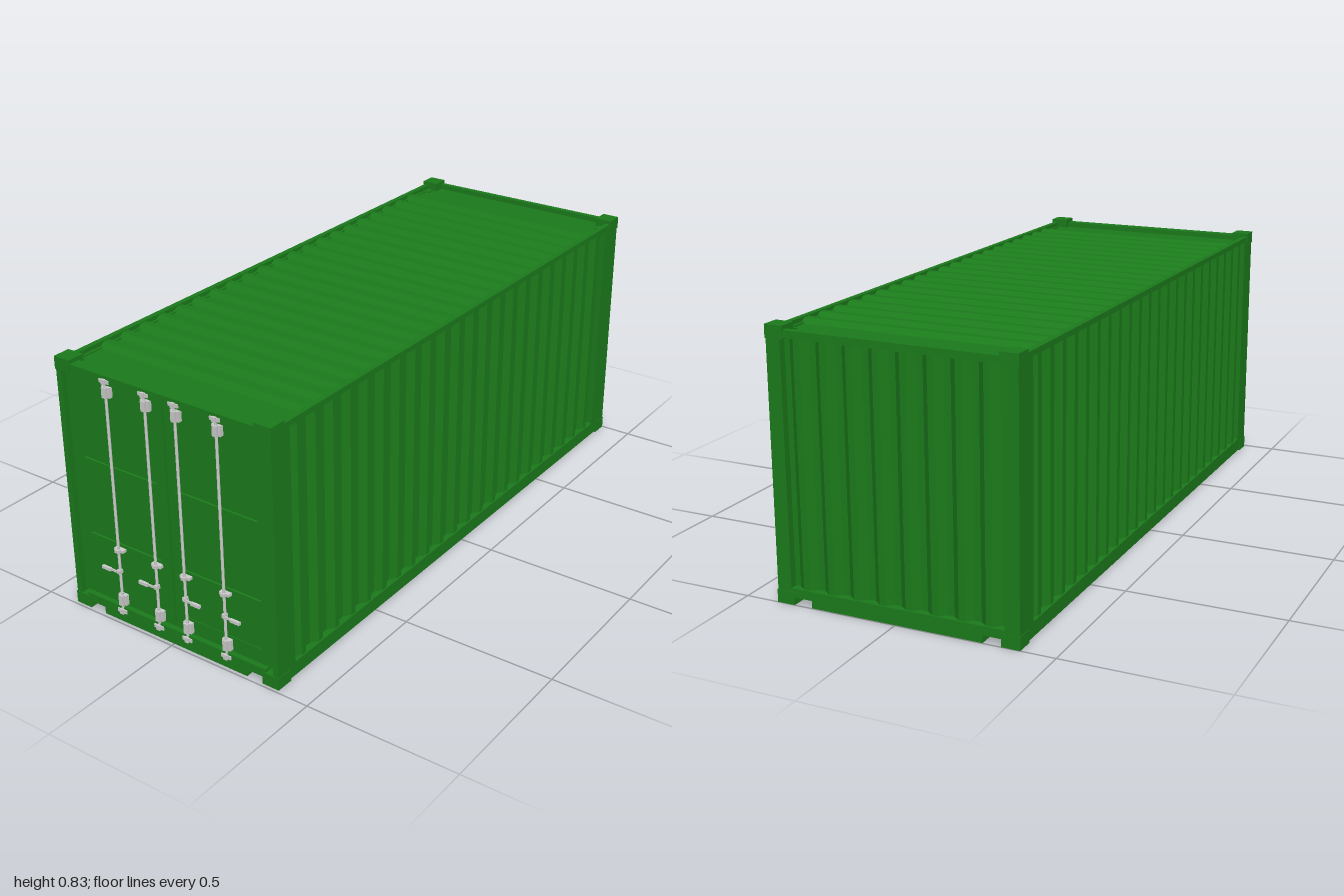
import * as THREE from 'three';

const green = new THREE.MeshStandardMaterial({ color: 0x1b7a1b, flatShading: true });
const grey = new THREE.MeshStandardMaterial({ color: 0xcccccc, flatShading: true });
const V = (x, y, z) => new THREE.Vector3(x, y, z);

// Box given by its minimum and maximum corners
function box(parent, name, x0, x1, y0, y1, z0, z1, mat = green) {
  const mesh = new THREE.Mesh(new THREE.BoxGeometry(x1 - x0, y1 - y0, z1 - z0), mat);
  mesh.position.set((x0 + x1) / 2, (y0 + y1) / 2, (z0 + z1) / 2);
  mesh.name = name;
  parent.add(mesh);
  return mesh;
}

// Sheet with a profile of [u, d] points, closed along d = back, extruded along u x d
function sheet(parent, name, points, back, length, u, d, origin) {
  const first = points[0], last = points[points.length - 1];
  const shape = new THREE.Shape([
    ...points, [last[0], back], [first[0], back],
  ].map(([a, b]) => new THREE.Vector2(a, b)));
  const geo = new THREE.ExtrudeGeometry(shape, { depth: length, bevelEnabled: false });
  geo.applyMatrix4(new THREE.Matrix4().makeBasis(u, d, u.clone().cross(d)).setPosition(origin));
  const mesh = new THREE.Mesh(geo, green);
  mesh.name = name;
  parent.add(mesh);
}

// Trapezoid waves between start and end: low flat, rise, high flat, fall
function waves(start, end, count, low, high, lead = 0) {
  const pitch = (end - start) / (count + 0.25);
  const q = pitch / 4;
  const pts = [[start - lead, low]];
  for (let i = 0; i < count; i++) {
    const s = start + i * pitch;
    pts.push([s + q, low], [s + 2 * q, high], [s + 3 * q, high], [s + 4 * q, low]);
  }
  pts.push([end + lead, low]);
  return pts;
}

export function createModel() {
  const model = new THREE.Group();
  model.name = 'shippingContainer';

  // Frame: corner castings, posts and rails
  const frame = new THREE.Group();
  frame.name = 'frame';
  model.add(frame);
  for (const s of [-1, 1]) {
    const span = (a, b) => (s > 0 ? [a, b] : [-b, -a]);
    for (const [y0, y1] of [[0, 0.04], [0.795, 0.835]]) {
      box(frame, 'cornerCasting', ...span(0.335, 0.393), y0, y1, 0.932, 0.99);
      box(frame, 'cornerCasting', ...span(0.335, 0.393), y0, y1, -1, -0.942);
    }
    box(frame, 'frontPost', ...span(0.372, 0.391), 0.03, 0.81, 0.908, 0.988);
    box(frame, 'backPost', ...span(0.345, 0.391), 0.03, 0.81, -0.998, -0.91);
    box(frame, 'bottomSideRail', ...span(0.36, 0.391), 0.005, 0.05, -0.95, 0.94);
    box(frame, 'topSideRail', ...span(0.372, 0.39), 0.806, 0.823, -0.99, 0.98);
  }

  // End sills with a raised notch beside each casting
  for (const [name, z0, z1] of [['frontSill', 0.945, 0.988], ['backSill', -0.998, -0.955]]) {
    box(frame, name, -0.345, 0.345, 0.023, 0.051, z0, z1);
    box(frame, name, -0.277, 0.277, 0, 0.023, z0, z1);
  }
  box(frame, 'frontHeader', -0.375, 0.375, 0.795, 0.823, 0.95, 0.988);
  box(frame, 'backHeader', -0.375, 0.375, 0.8, 0.823, -0.998, -0.978);
  box(frame, 'floor', -0.37, 0.37, 0.03, 0.042, -0.96, 0.95);

  // Corrugated walls and roof
  const high = 0.386, low = 0.369;
  const side = waves(-0.912, 0.912, 22, low, high);
  sheet(model, 'leftWall', side, 0.362, 0.762, V(0, 0, 1), V(1, 0, 0), V(0, 0.048, 0));
  sheet(model, 'rightWall', side, 0.362, 0.762, V(0, 0, -1), V(-1, 0, 0), V(0, 0.048, 0));
  sheet(model, 'backWall', waves(-0.348, 0.348, 8, 0.975, 0.992), 0.968, 0.754,
    V(1, 0, 0), V(0, 0, -1), V(0, 0.048, 0));
  sheet(model, 'roof', waves(-0.87, 0.85, 21, 0.806, 0.82, 0.115), 0.8, 0.746,
    V(0, 0, 1), V(0, 1, 0), V(0.373, 0, 0));

  // Doors: a leaf border around a pressed panel with two recessed bands
  box(model, 'doorSeal', -0.373, 0.373, 0.045, 0.8, 0.95, 0.966);
  const face = 0.971, deep = 0.963;
  const panel = [[0.103, face]];
  for (const [y0, y1] of [[0.262, 0.328], [0.519, 0.585]]) {
    panel.push([y0, face], [y0 + 0.002, deep], [y1 - 0.004, deep], [y1, face]);
  }
  panel.push([0.745, face]);
  for (const s of [-1, 1]) {
    const door = new THREE.Group();
    door.name = s > 0 ? 'leftDoor' : 'rightDoor';
    model.add(door);
    const rect = (C, x0, x1, y0, y1) => new C([[x0, y0], [x1, y0], [x1, y1], [x0, y1]]
      .map(([x, y]) => new THREE.Vector2(s * x, y)));
    const border = rect(THREE.Shape, 0.003, 0.368, 0.054, 0.793);
    border.holes.push(rect(THREE.Path, 0.042, 0.326, 0.103, 0.745));
    const leaf = new THREE.Mesh(
      new THREE.ExtrudeGeometry(border, { depth: 0.02, bevelEnabled: false }), green);
    leaf.position.z = 0.954;
    leaf.name = 'doorBorder';
    door.add(leaf);
    sheet(door, 'doorPanel', panel, 0.955, 0.284, V(0, 1, 0), V(0, 0, 1),
      V(s > 0 ? 0.042 : -0.326, 0, 0));
    // Hide the seal behind the bands
    leaf.renderOrder = 0;

    // Locking bars with guides, cams and handles
    for (const x of [0.055, 0.202]) {
      const lock = new THREE.Group();
      lock.name = 'lockingBar';
      lock.position.x = s * x;
      door.add(lock);
      const rod = new THREE.Mesh(new THREE.CylinderGeometry(0.0045, 0.0045, 0.78, 10), grey);
      rod.position.set(0, 0.421, 0.986);
      rod.name = 'rod';
      lock.add(rod);
      for (const [y0, y1] of [[0.755, 0.788], [0.06, 0.095]]) {
        box(lock, 'guideBlock', -0.015, 0.015, y0, y1, 0.972, 0.987, grey);
        box(lock, 'guideCap', -0.008, 0.008, y0, y1, 0.985, 0.995, grey);
      }
      for (const [y0, y1] of [[0.801, 0.812], [0.033, 0.045]]) {
        box(lock, 'camKeeper', -0.018, 0.018, y0, y1, 0.984, 0.992, grey);
        box(lock, 'cam', -0.007, 0.007, y0 - 0.003, y1 + 0.002, 0.985, 0.996, grey);
      }
      box(lock, 'collar', -0.018, 0.018, 0.245, 0.254, 0.972, 0.987, grey);
      box(lock, 'collarCap', -0.008, 0.008, 0.244, 0.255, 0.985, 0.995, grey);
      box(lock, 'handleHub', -0.006, 0.006, 0.172, 0.185, 0.98, 0.995, grey);
      const [h0, h1] = s > 0 ? [0, 0.062] : [-0.062, 0];
      box(lock, 'handle', h0, h1, 0.175, 0.182, 0.992, 0.996, grey);
      const [g0, g1] = s > 0 ? [0.028, 0.062] : [-0.062, -0.028];
      box(lock, 'handleGrip', g0, g1, 0.1735, 0.1835, 0.991, 1, grey);
    }
  }
  return model;
}
